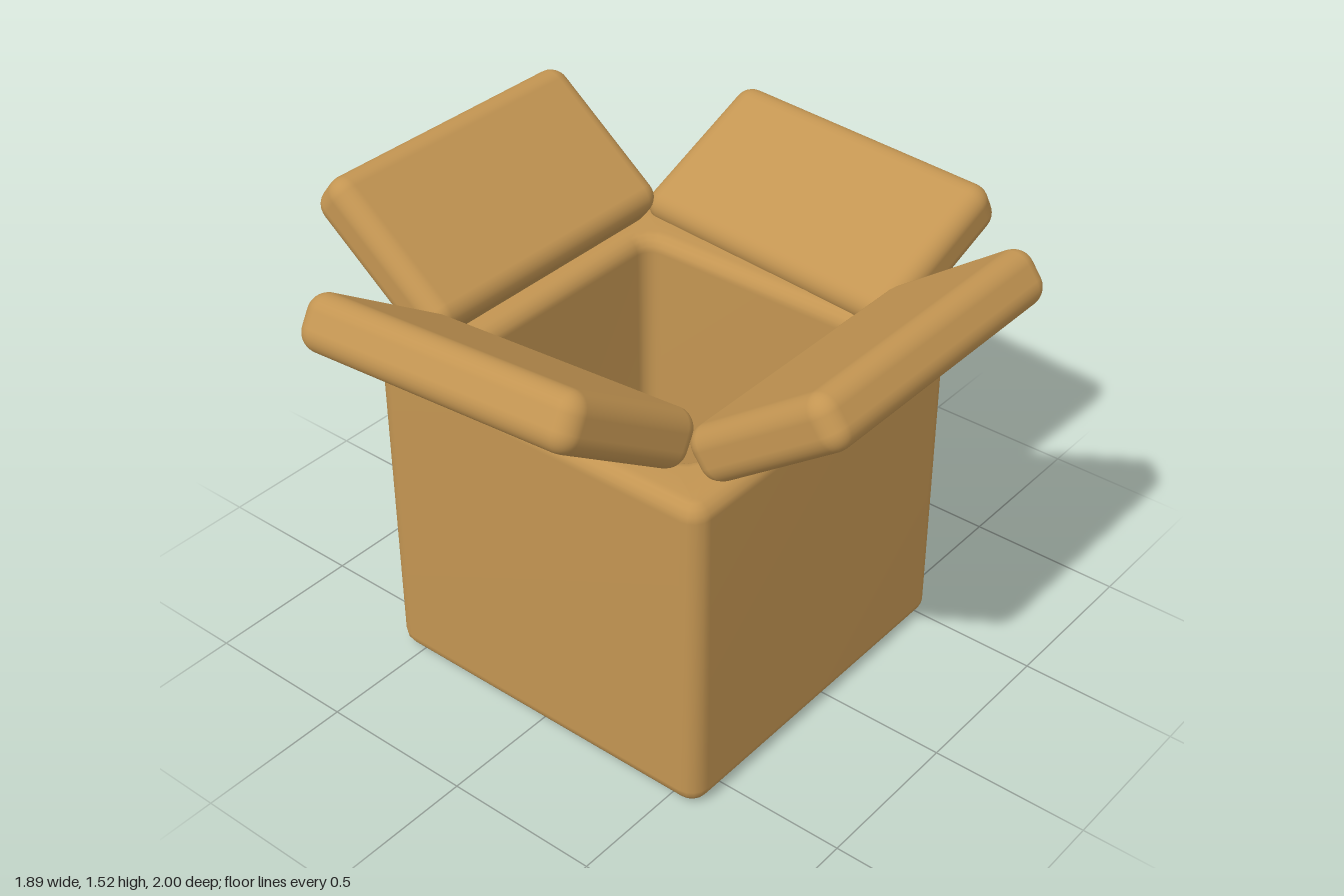
import * as THREE from 'three';
import { RoundedBoxGeometry } from 'three/addons/geometries/RoundedBoxGeometry.js';

const CORNER_STEPS = 4;
const deg = THREE.MathUtils.degToRad;

// Rounded-rectangle ring: list of [x, y, z] at one height
function ring(halfX, halfZ, y, radius) {
  const points = [];
  const corners = [[1, 1], [-1, 1], [-1, -1], [1, -1]];
  corners.forEach(([sx, sz], quarter) => {
    for (let i = 0; i <= CORNER_STEPS; i++) {
      const a = (quarter + i / CORNER_STEPS) * Math.PI / 2;
      points.push([
        sx * (halfX - radius) + radius * Math.cos(a), y,
        sz * (halfZ - radius) + radius * Math.sin(a)
      ]);
    }
  });
  return points;
}

// Quarter-round profile steps: [inset, height]
function arc(cx, cy, r, from, to, steps = 4) {
  return Array.from({ length: steps + 1 }, (_, i) => {
    const a = deg(from + (to - from) * i / steps);
    return [cx + r * Math.cos(a), cy + r * Math.sin(a)];
  });
}

// Thick-walled open box, from the underside round the rim to the inner floor
function boxGeometry(half, height, wall, floor) {
  const r = 0.05, fillet = 0.04;
  const outer = [...arc(r, r, r, 270, 180), ...arc(r, height - r, r, 180, 90)]
    .map(([d, y]) => ring(half - d, half - d, y, 0.06 - d));
  const inner = [
    ...arc(wall - r, height - r, r, 90, 0),
    ...arc(wall + fillet, floor + fillet, fillet, 180, 270)
  ].map(([d, y]) => ring(half - d, half - d, y, wall + 0.05 - d));
  const rings = [...outer, ...inner];
  const n = rings[0].length, last = (rings.length - 1) * n;
  const positions = rings.flat(2), index = [];
  const bottom = rings.length * n, top = bottom + 1;
  positions.push(0, 0, 0, 0, floor, 0);
  for (let j = 0; j < n; j++) {
    const k = (j + 1) % n;
    for (let i = 0; i < rings.length - 1; i++) {
      const a = i * n, b = a + n;
      index.push(a + j, b + j, a + k, a + k, b + j, b + k);
    }
    index.push(bottom, j, k, top, last + k, last + j);
  }
  const geometry = new THREE.BufferGeometry();
  geometry.setAttribute('position', new THREE.Float32BufferAttribute(positions, 3));
  geometry.setIndex(index);
  geometry.computeVertexNormals();
  return geometry;
}

export function createModel() {
  const model = new THREE.Group();
  model.name = 'openBox';
  const cardboard = new THREE.MeshStandardMaterial({ color: 0xc39552 });
  cardboard.name = 'cardboard';

  const body = new THREE.Mesh(boxGeometry(0.596, 1.07, 0.172, 0.17), cardboard);
  body.name = 'boxBody';
  body.position.set(0.005, 0, 0.047);
  model.add(body);

  // Four soft flaps, each tilted a little differently
  const width = 1, length = 0.554, thickness = 0.17;
  const sideFlap = new RoundedBoxGeometry(length, thickness, width, 4, 0.06);
  const endFlap = new RoundedBoxGeometry(width, thickness, length, 4, 0.06);
  const flaps = [
    ['leftFlap', sideFlap, [0.69, 1.257, 0.01], [0, 0, 36]],
    ['rightFlap', sideFlap, [-0.702, 1.262, 0.01], [0, 0, -38]],
    ['frontFlap', endFlap, [-0.015, 1.283, 0.737], [-33, -1, 5]],
    ['backFlap', endFlap, [-0.012, 1.17, -0.702], [27, -5, 0]]
  ];
  for (const [name, geometry, position, angles] of flaps) {
    const flap = new THREE.Mesh(geometry, cardboard);
    flap.name = name;
    flap.position.set(...position);
    flap.rotation.set(...angles.map(deg), 'YZX');
    model.add(flap);
  }
  return model;
}
